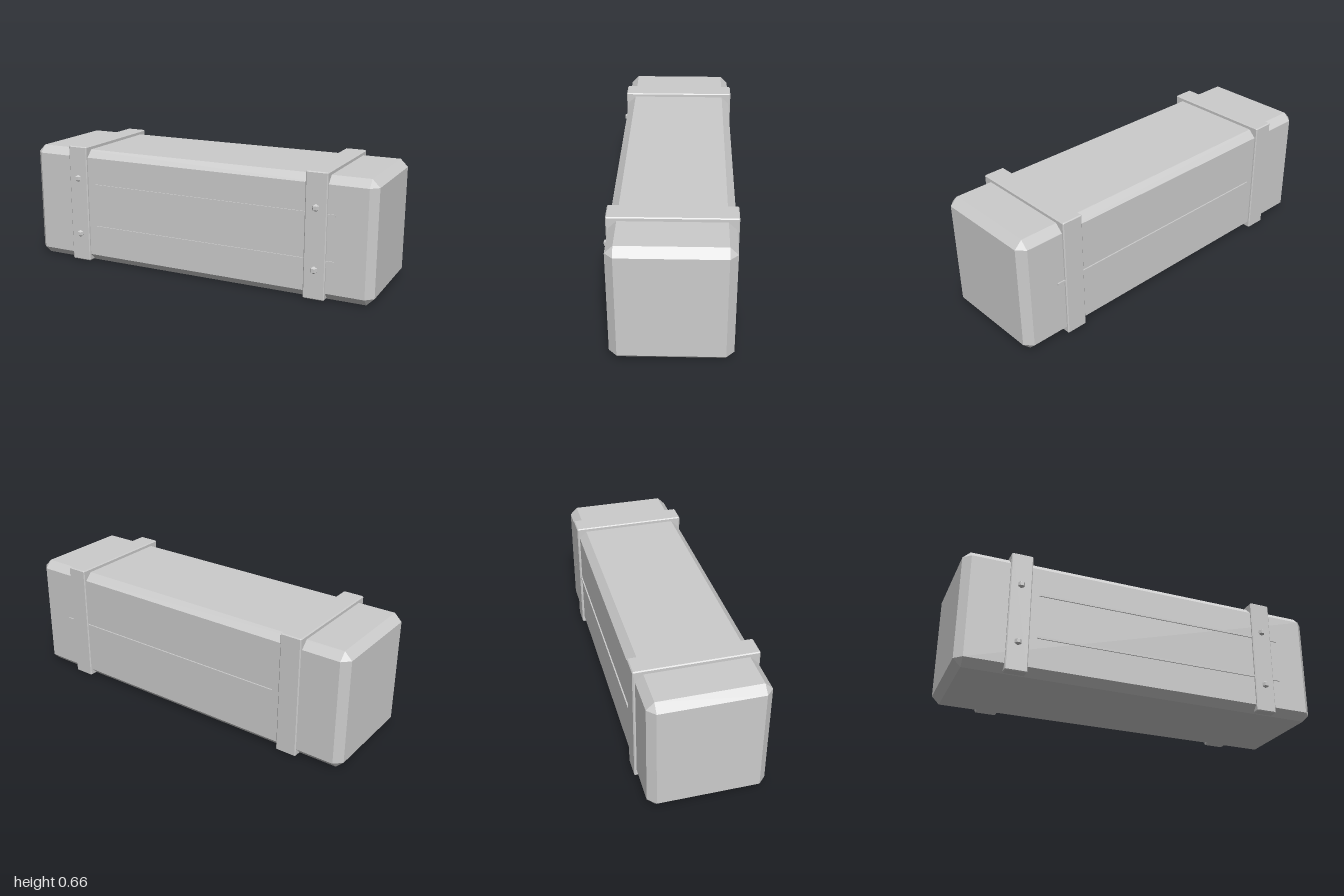
import * as THREE from 'three';
import { ConvexGeometry } from 'three/addons/geometries/ConvexGeometry.js';

// Box with every edge cut by a flat chamfer c
function chamferBox(w, h, d, c) {
  const half = [w / 2, h / 2, d / 2];
  const points = [];
  for (const sx of [-1, 1]) for (const sy of [-1, 1]) for (const sz of [-1, 1]) {
    for (let axis = 0; axis < 3; axis++) {
      const p = half.map((v, i) => (i === axis ? v : v - c));
      points.push(new THREE.Vector3(p[0] * sx, p[1] * sy, p[2] * sz));
    }
  }
  return new ConvexGeometry(points);
}

export function createModel() {
  const model = new THREE.Group();
  model.name = 'strappedCrate';
  const grey = new THREE.MeshStandardMaterial({ color: 0xcccccc, flatShading: true });
  grey.name = 'plain grey';

  const add = (name, geometry, x, y, z) => {
    const mesh = new THREE.Mesh(geometry, grey);
    mesh.name = name;
    mesh.position.set(x, y, z);
    model.add(mesh);
  };

  // Main block
  add('body', chamferBox(2, 0.64, 0.6, 0.04), 0, 0.32, -0.0075);

  // Two straps, each with a pair of bolts on the front
  const strap = chamferBox(0.115, 0.657, 0.625, 0.005);
  const bolt = new THREE.SphereGeometry(0.02, 6, 3);
  for (const [side, x] of [['right', -0.7], ['left', 0.7]]) {
    add(side + 'Strap', strap, x, 0.3315, -0.0075);
    add(side + 'LowerBolt', bolt, x, 0.16, 0.307);
    add(side + 'UpperBolt', bolt, x, 0.48, 0.307);
  }

  // Thin plank seams along the front and back
  const seam = new THREE.BoxGeometry(1.4, 0.012, 0.012);
  add('frontLowerSeam', seam, 0.1, 0.207, 0.2925);
  add('frontUpperSeam', seam, 0.1, 0.447, 0.2925);
  add('backSeam', seam, 0.1, 0.327, -0.3085);

  return model;
}
